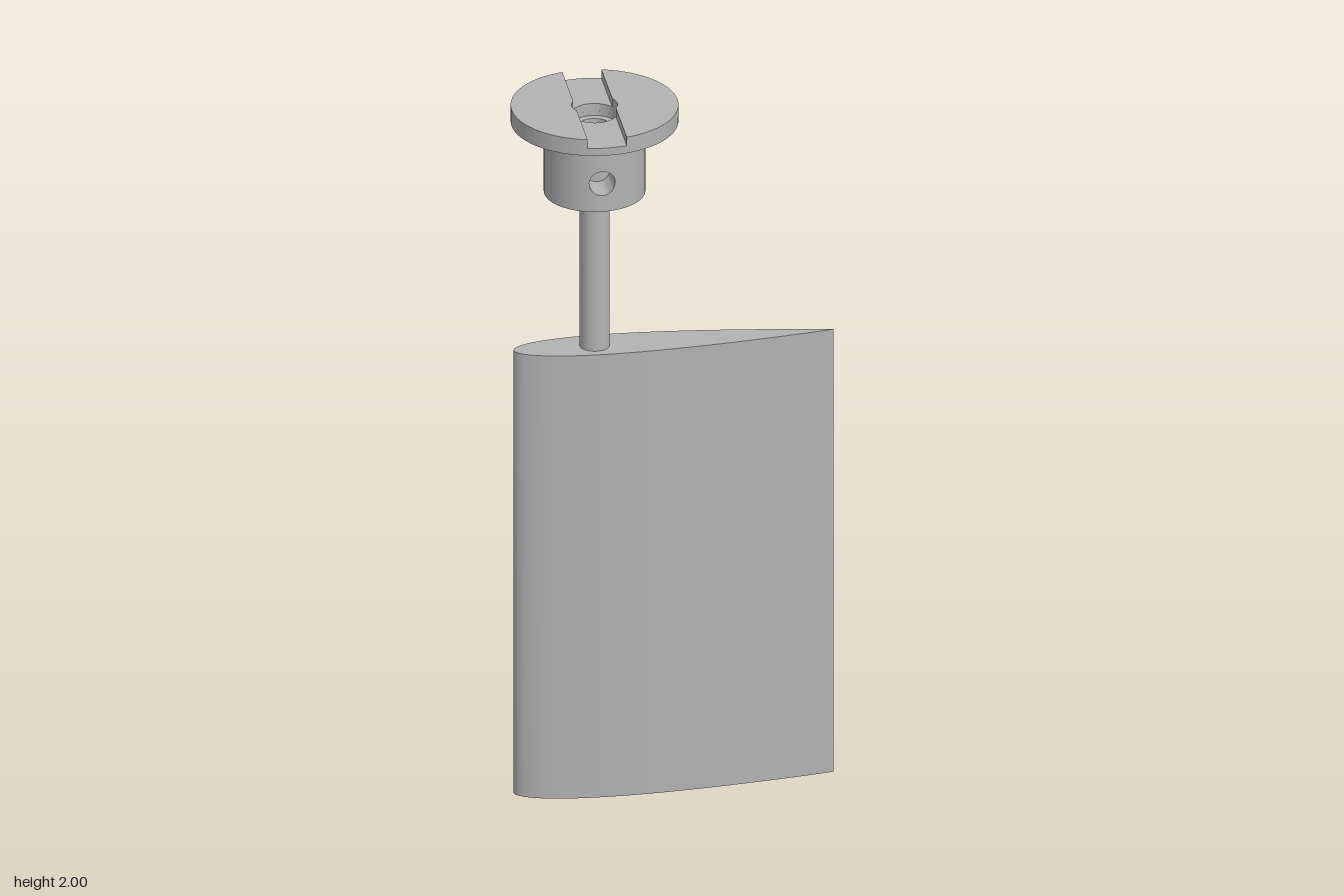
import * as THREE from 'three';
import { toCreasedNormals } from 'three/addons/utils/BufferGeometryUtils.js';

const AXIS = -0.2125; // x of the rudder stock
const DISC_R = 0.223, HUB_R = 0.135, BORE_R = 0.061, SLOT = 0.0525;
const HUB_Y0 = 1.748, HUB_Y1 = 1.953, SLOT_Y = 1.975;

const smooth = (g) => toCreasedNormals(g, 0.5);

// Extrude a plan shape upwards from y0 to y1
function plate(shape, y0, y1, segments = 48) {
  const g = new THREE.ExtrudeGeometry(shape, { depth: y1 - y0, bevelEnabled: false, curveSegments: segments });
  return smooth(g.rotateX(-Math.PI / 2).translate(0, y0, 0));
}

// Symmetric foil section, blunt nose at -x
function foilShape(chord, thickness, n = 28) {
  const half = (t) => 5 * thickness * chord *
    (0.2969 * Math.sqrt(t) - 0.126 * t - 0.3516 * t * t + 0.2843 * t ** 3 - 0.1036 * t ** 4);
  const pts = [];
  for (let i = 0; i < 2 * n; i++) {
    const t = (1 + Math.cos((Math.PI * i) / n)) / 2;
    const y = i === 0 ? 0 : half(t);
    pts.push(new THREE.Vector2((t - 0.5) * chord, i <= n ? y : -y));
  }
  return new THREE.Shape(pts);
}

// One half of the slotted disc top, with the bore biting into its straight edge
function discHalf() {
  const a = Math.acos(SLOT / DISC_R), b = Math.acos(SLOT / BORE_R);
  const s = new THREE.Shape();
  s.absarc(0, 0, DISC_R, -a, a, false);
  s.lineTo(SLOT, BORE_R * Math.sin(b));
  s.absarc(0, 0, BORE_R, b, -b, true);
  s.closePath();
  return s;
}

// Front panel of the hub wall with a blind round screw hole
function screwPanel(halfW) {
  const holeR = 0.035, holeY = 1.83, floorZ = 0.045, n = 48, rows = 8;
  const wall = (x) => Math.sqrt(HUB_R * HUB_R - x * x);
  const corners = [[halfW, HUB_Y0], [halfW, HUB_Y1], [-halfW, HUB_Y1], [-halfW, HUB_Y0]];
  const pos = [], idx = [];
  for (let i = 0; i <= n; i++) {
    const k = i % n, side = Math.floor(k / 12), f = (k % 12) / 12;
    const p = corners[side], q = corners[(side + 1) % 4];
    const ex = p[0] + (q[0] - p[0]) * f, ey = p[1] + (q[1] - p[1]) * f;
    const a = Math.atan2(ey - holeY, ex);
    const hx = holeR * Math.cos(a), hy = holeY + holeR * Math.sin(a);
    pos.push(0, holeY, floorZ, hx, hy, floorZ);
    for (let j = 0; j <= rows; j++) {
      const x = hx + ((ex - hx) * j) / rows;
      pos.push(x, hy + ((ey - hy) * j) / rows, wall(x));
    }
  }
  const m = rows + 3;
  for (let i = 0; i < n; i++) {
    for (let j = 0; j < m - 1; j++) {
      const a = i * m + j, d = a + m;
      idx.push(a, a + 1, d + 1);
      if (j > 0) idx.push(a, d + 1, d);
    }
  }
  const g = new THREE.BufferGeometry();
  g.setAttribute('position', new THREE.Float32BufferAttribute(pos, 3));
  g.setIndex(idx);
  return smooth(g);
}

export function createModel() {
  const grey = new THREE.MeshStandardMaterial({ color: 0xb3b3b3 });
  grey.name = 'plain grey';
  const model = new THREE.Group();
  model.name = 'rudder';
  const stock = new THREE.Group();
  stock.name = 'stockAssembly';
  stock.position.x = AXIS;
  model.add(stock);
  const add = (parent, name, geometry) => {
    const mesh = new THREE.Mesh(geometry, grey);
    mesh.name = name;
    parent.add(mesh);
    return mesh;
  };

  // Blade
  add(model, 'blade', plate(foilShape(0.86, 0.148), 0, 1.296));

  // Shaft, running up into the hub
  const shaftTop = 1.85;
  add(stock, 'shaft', new THREE.CylinderGeometry(0.04, 0.04, shaftTop - 1.29, 40)
    .translate(0, (shaftTop + 1.29) / 2, 0));

  // Hub: wall, drilled front panel and underside
  const halfW = 0.06, gap = Math.asin(halfW / HUB_R);
  add(stock, 'hubWall', new THREE.CylinderGeometry(HUB_R, HUB_R, HUB_Y1 - HUB_Y0, 64, 1, true,
    gap, 2 * Math.PI - 2 * gap).translate(0, (HUB_Y0 + HUB_Y1) / 2, 0));
  add(stock, 'hubScrewPanel', screwPanel(halfW));
  add(stock, 'hubUnderside', new THREE.CircleGeometry(HUB_R, 64)
    .rotateX(Math.PI / 2).translate(0, HUB_Y0, 0));

  // Stepped bore inside the hub
  const bore = [[BORE_R, HUB_Y1], [BORE_R, 1.94], [0.042, 1.94], [0.042, shaftTop], [0, shaftTop]];
  add(stock, 'bore', smooth(new THREE.LatheGeometry(
    bore.map(([r, y]) => new THREE.Vector2(r, y)), 48)));

  // Disc base with the bore through it
  const base = new THREE.Shape().absarc(0, 0, DISC_R, 0, 2 * Math.PI, false);
  base.holes.push(new THREE.Path().absarc(0, 0, BORE_R, 0, 2 * Math.PI, true));
  add(stock, 'discBase', plate(base, HUB_Y1, SLOT_Y));

  // Two raised halves either side of the drive slot
  const half = plate(discHalf(), SLOT_Y, 2, 32);
  add(stock, 'discHalfLeft', half);
  add(stock, 'discHalfRight', half).rotation.y = Math.PI;

  return model;
}
